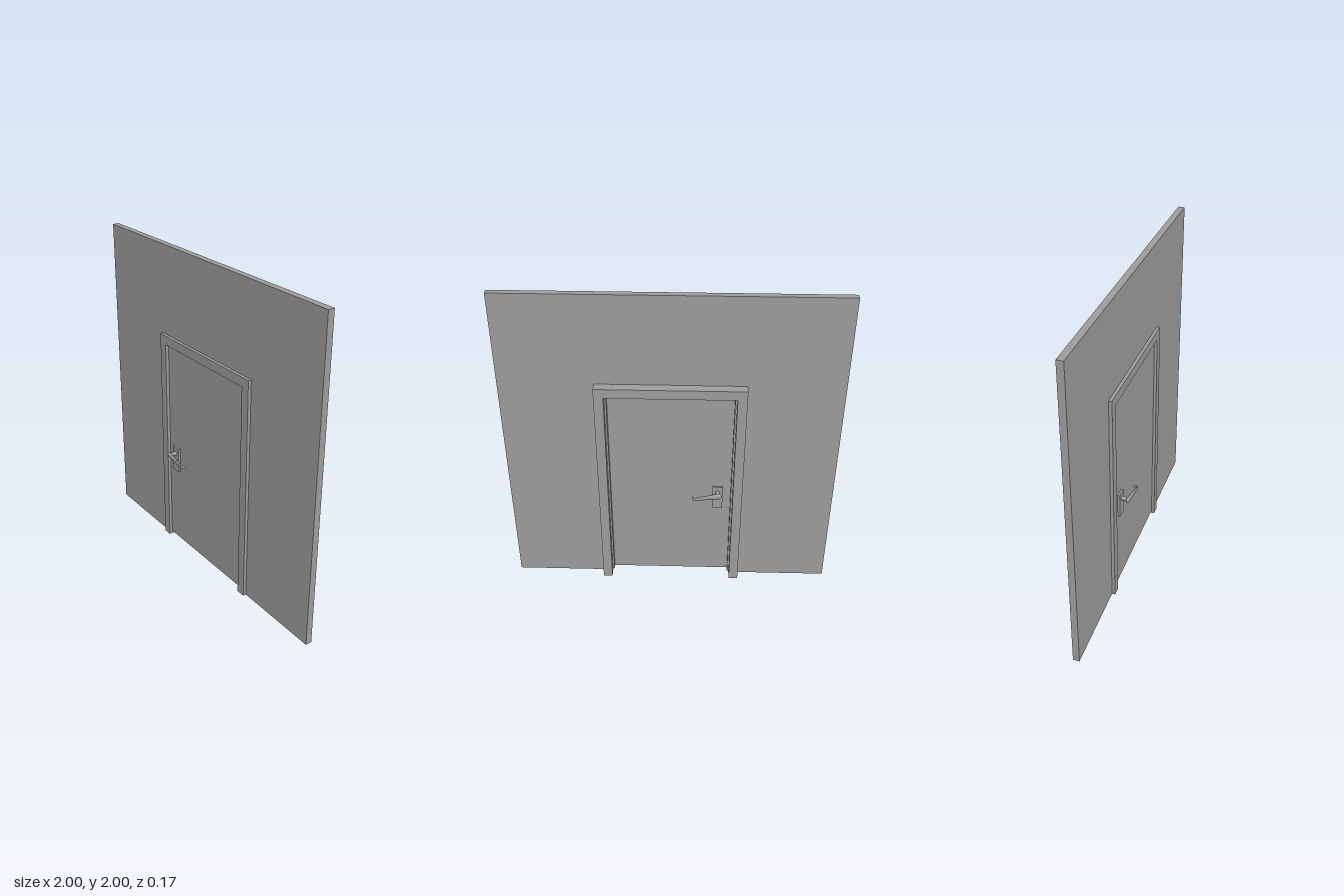
import * as THREE from 'three';
import { mergeVertices } from 'three/addons/utils/BufferGeometryUtils.js';

const material = new THREE.MeshStandardMaterial({ color: 0x9c9c9c });

function part(name, geometry, parent) {
  const mesh = new THREE.Mesh(geometry, material);
  mesh.name = name;
  parent.add(mesh);
  return mesh;
}

// Upside-down U outline, extruded between two depths
function portal(outerX, outerY, innerX, innerY, zBack, zFront, bottom = 0) {
  const outline = [
    [-outerX, bottom], [-innerX, bottom], [-innerX, innerY], [innerX, innerY],
    [innerX, bottom], [outerX, bottom], [outerX, outerY], [-outerX, outerY],
  ].map(([x, y]) => new THREE.Vector2(x, y));
  const geometry = new THREE.ExtrudeGeometry(new THREE.Shape(outline), {
    depth: zFront - zBack, bevelEnabled: false,
  });
  return geometry.translate(0, 0, zBack);
}

// Tapered lever lofted through oval rings; its tip turns back to the door
function leverGeometry(side) {
  // x, y, z, half height, half thickness, turn toward the door
  const stations = [
    [-0.022, 0.002, 0.074, 0.0005, 0.0005, 0],
    [-0.020, 0.002, 0.074, 0.009, 0.006, 0],
    [-0.014, 0.001, 0.074, 0.016, 0.009, 0],
    [-0.004, 0.000, 0.074, 0.020, 0.010, 0],
    [0.008, -0.001, 0.075, 0.020, 0.010, 0],
    [0.050, -0.007, 0.077, 0.017, 0.0085, 0],
    [0.100, -0.013, 0.080, 0.014, 0.006, 0],
    [0.140, -0.018, 0.083, 0.011, 0.004, 0],
    [0.150, -0.019, 0.081, 0.011, 0.0035, 0.4],
    [0.155, -0.019, 0.077, 0.011, 0.003, 1.1],
    [0.157, -0.019, 0.070, 0.010, 0.0025, 1.57],
    [0.157, -0.019, 0.056, 0.009, 0.002, 1.57],
    [0.157, -0.019, 0.053, 0.0005, 0.0005, 1.57],
  ];
  const n = 16, positions = [], index = [];
  stations.forEach(([x, y, z, h, t, a], i) => {
    for (let j = 0; j < n; j++) {
      const p = (j / n) * Math.PI * 2, r = t * Math.cos(p);
      positions.push(x + r * Math.sin(a), y * side + h * Math.sin(p), z + r * Math.cos(a));
      if (i === stations.length - 1) continue;
      const k = (j + 1) % n, row = i * n, next = row + n;
      index.push(row + j, next + j, next + k, row + j, next + k, row + k);
    }
  });
  const geometry = new THREE.BufferGeometry();
  geometry.setAttribute('position', new THREE.Float32BufferAttribute(positions, 3));
  geometry.setIndex(index);
  const smooth = mergeVertices(geometry);
  smooth.computeVertexNormals();
  return smooth;
}

// Plate, spindle and lever; side is 1 for the front, -1 for the back
function handle(side) {
  const group = new THREE.Group();
  group.name = side > 0 ? 'frontHandle' : 'backHandle';
  part('handlePlate', new THREE.BoxGeometry(0.064, 0.164, 0.02), group)
    .position.set(0.004, -0.042 * side, 0.022);
  part('handleSpindle', new THREE.CylinderGeometry(0.013, 0.013, 0.052, 20).rotateX(Math.PI / 2), group)
    .position.set(0.004, 0, 0.047);
  part('handleLever', leverGeometry(side), group);
  group.position.set(-0.296, 0.667, 0);
  if (side < 0) {
    group.rotation.x = Math.PI;
    group.position.x += 0.003;
    group.position.z = 0.012;
  }
  return group;
}

export function createModel() {
  const model = new THREE.Group();
  model.name = 'doorInWall';

  // Wall with the doorway cut out
  part('wall', portal(1, 2, 0.43, 1.435, -0.026, 0.014), model);

  // Frame, with a stop strip behind the leaf that ends above the floor
  const frame = new THREE.Group();
  frame.name = 'doorFrame';
  part('frameSurround', portal(0.44, 1.443, 0.383, 1.384, -0.086, 0.034), frame);
  part('frameStop', portal(0.39, 1.39, 0.372, 1.372, -0.043, -0.01, 0.025), frame);
  frame.position.x = 0.002;
  model.add(frame);

  // Door leaf, raised off the floor with a narrow gap to the frame
  part('doorLeaf', new THREE.BoxGeometry(0.752, 1.351, 0.028), model)
    .position.set(0.002, 0.025 + 1.351 / 2, 0.004);

  model.add(handle(1), handle(-1));
  return model;
}
